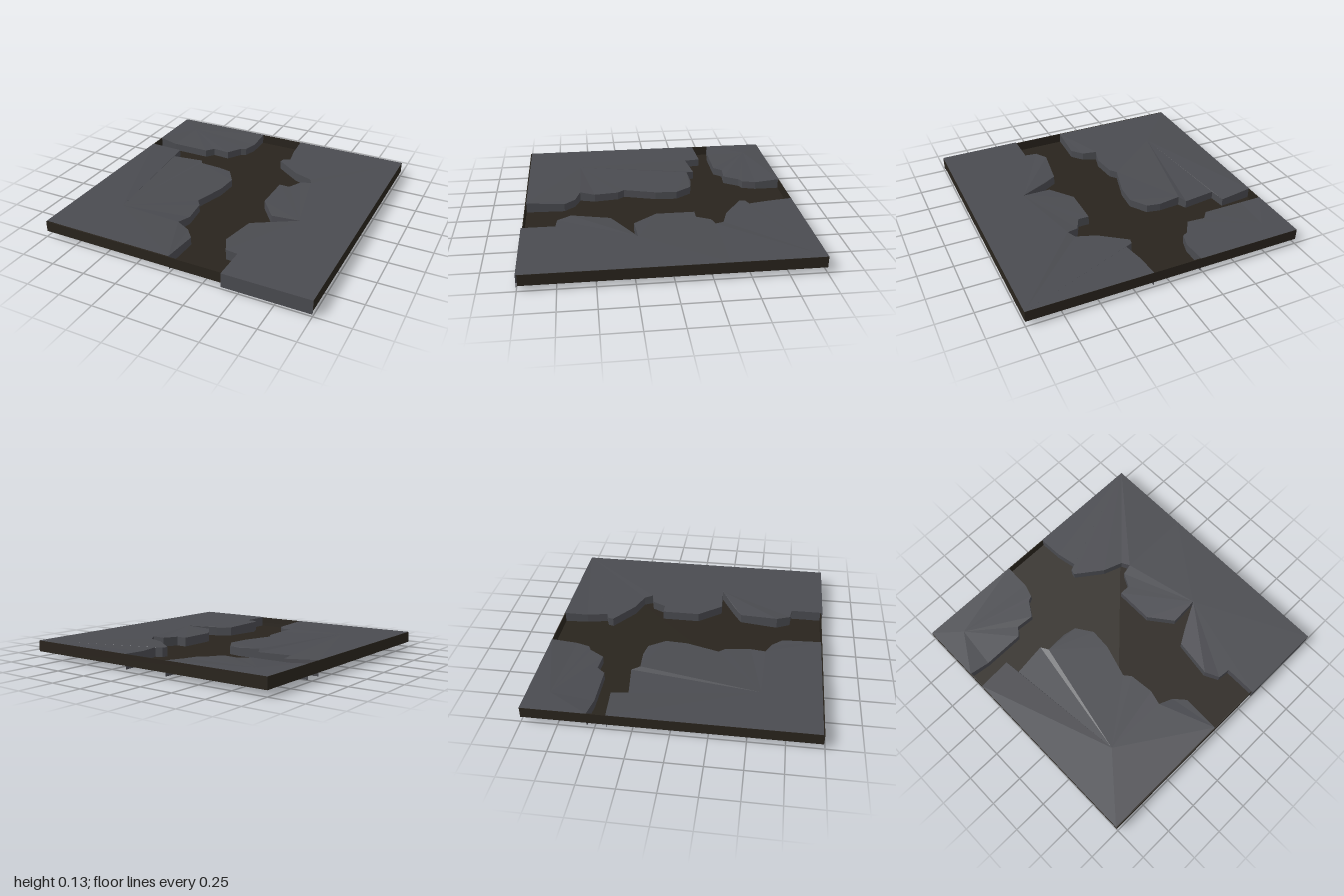
import * as THREE from 'three';

const rockMat = new THREE.MeshStandardMaterial({ color: 0x4a4b50, flatShading: true, side: THREE.DoubleSide });
const trayMat = new THREE.MeshStandardMaterial({ color: 0x29241d });

function addSurface(group, name, triangles) {
  const geo = new THREE.BufferGeometry();
  geo.setAttribute('position', new THREE.Float32BufferAttribute(triangles.flat(2), 3));
  geo.computeVertexNormals();
  const mesh = new THREE.Mesh(geo, rockMat);
  mesh.name = name;
  group.add(mesh);
}

// outline: [x, z] or [x, z, height], clockwise from above; the tile border is level, gully edges dip.
// peak: optional inner point. fans: [hub, first, last, step]. wall: first and last outline point of the rock face.
function buildRock(name, { outline, peak, edge, fans, wall }) {
  const group = new THREE.Group();
  group.name = name;
  const n = outline.length;
  const points = [...outline, ...(peak ? [peak] : [])].map(([x, z, h]) => {
    const onBorder = Math.max(Math.abs(x), Math.abs(z)) > 0.97;
    return [x, h ?? (onBorder ? 0.12 : edge), z];
  });

  // Faceted top
  const top = [];
  for (const [hub, first, last, step = 1] of fans) {
    for (let i = first; i < last; i += step) {
      top.push([points[hub], points[(i + step) % n], points[i % n]]);
    }
  }
  addSurface(group, 'rockTop', top);

  // Rock face dropping just past the gully floor, with an uneven lower edge
  const foot = (i) => [points[i][0], i % 7 === 6 ? 0 : 0.015, points[i][2]];
  const face = [];
  for (let i = wall[0]; i < wall[1]; i++) {
    const [a, b] = [points[i], points[i + 1]];
    face.push([a, b, foot(i + 1)], [a, foot(i + 1), foot(i)]);
  }
  addSurface(group, 'rockFace', face);
  return group;
}

// Shallow tray: thin floor with an upright rim
function buildTray() {
  const tray = new THREE.Group();
  tray.name = 'tray';
  const slab = (name, w, h, d, x, y, z) => {
    const mesh = new THREE.Mesh(new THREE.BoxGeometry(w, h, d), trayMat);
    mesh.name = name;
    mesh.position.set(x, y, z);
    tray.add(mesh);
  };
  const t = 0.006;
  slab('gullyFloor', 2, 0.005, 1.99, 0, 0.0425, -0.005);
  for (const s of [-1, 1]) {
    slab('sideRim', t, 0.074, 1.99, s * (1 - t / 2), 0.0815, -0.005);
    slab(s > 0 ? 'frontRim' : 'backRim', 2 - 2 * t, 0.074, t, 0, 0.0815, -0.005 + s * (0.995 - t / 2));
  }
  return tray;
}

export function createModel() {
  const model = new THREE.Group();
  model.name = 'rockyGroundTile';

  const backRightHandRock = buildRock('backRock', {
    outline: [
      [-1, -1], [-0.23, -1], [-0.23, -0.81], [-0.26, -0.71], [-0.3, -0.69], [-0.37, -0.58],
      [-0.5, -0.59], [-0.55, -0.53], [-0.85, -0.53], [-1, -0.55],
    ],
    peak: [-0.82, -0.84, 0.121],
    edge: 0.103,
    fans: [[10, 0, 10]],
    wall: [1, 9],
  });

  const largeRock = buildRock('largeRock', {
    outline: [
      [-1, -0.42], [-0.75, -0.44], [-0.735, -0.32], [-0.49, -0.35], [-0.46, -0.29, 0.115], [-0.3, -0.3],
      [-0.2, -0.28], [-0.12, -0.16], [-0.13, 0], [-0.2, 0.24], [-0.16, 0.29], [-0.14, 0.47],
      [-0.17, 0.58, 0.115], [-0.07, 0.62], [0, 0.7], [-0.01, 0.982], [-1, 0.982],
    ],
    peak: [-0.64, 0.57, 0.122],
    edge: 0.103,
    fans: [[17, 15, 21], [4, 5, 9], [17, 4, 9, 5], [17, 9, 12], [17, 12, 15, 3], [15, 12, 14]],
    wall: [0, 15],
  });

  const notchedRock = buildRock('notchedRock', {
    outline: [
      [1, -1], [1, -0.36], [1, 1], [0.38, 1], [0.38, 0.76, 0.12], [0.29, 0.75, 0.12], [0.24, 0.65, 0.128],
      [0.28, 0.37], [0.38, 0.31], [0.59, 0.2, 0.121], [0.38, 0.21], [0.25, 0.04], [0.25, -0.24], [0.33, -0.24],
      [0.38, -0.34], [0.46, -0.36, 0.118], [0.43, -0.42], [0.29, -0.47], [0.1, -0.61], [0.11, -0.65],
      [0.16, -0.67], [0.13, -0.82], [0.12, -1],
    ],
    edge: 0.112,
    fans: [[0, 15, 22], [0, 1, 15, 14], [9, 15, 24, 9], [9, 1, 8], [9, 10, 15]],
    wall: [2, 22],
  });

  model.add(buildTray(), backRightHandRock, largeRock, notchedRock);
  return model;
}
